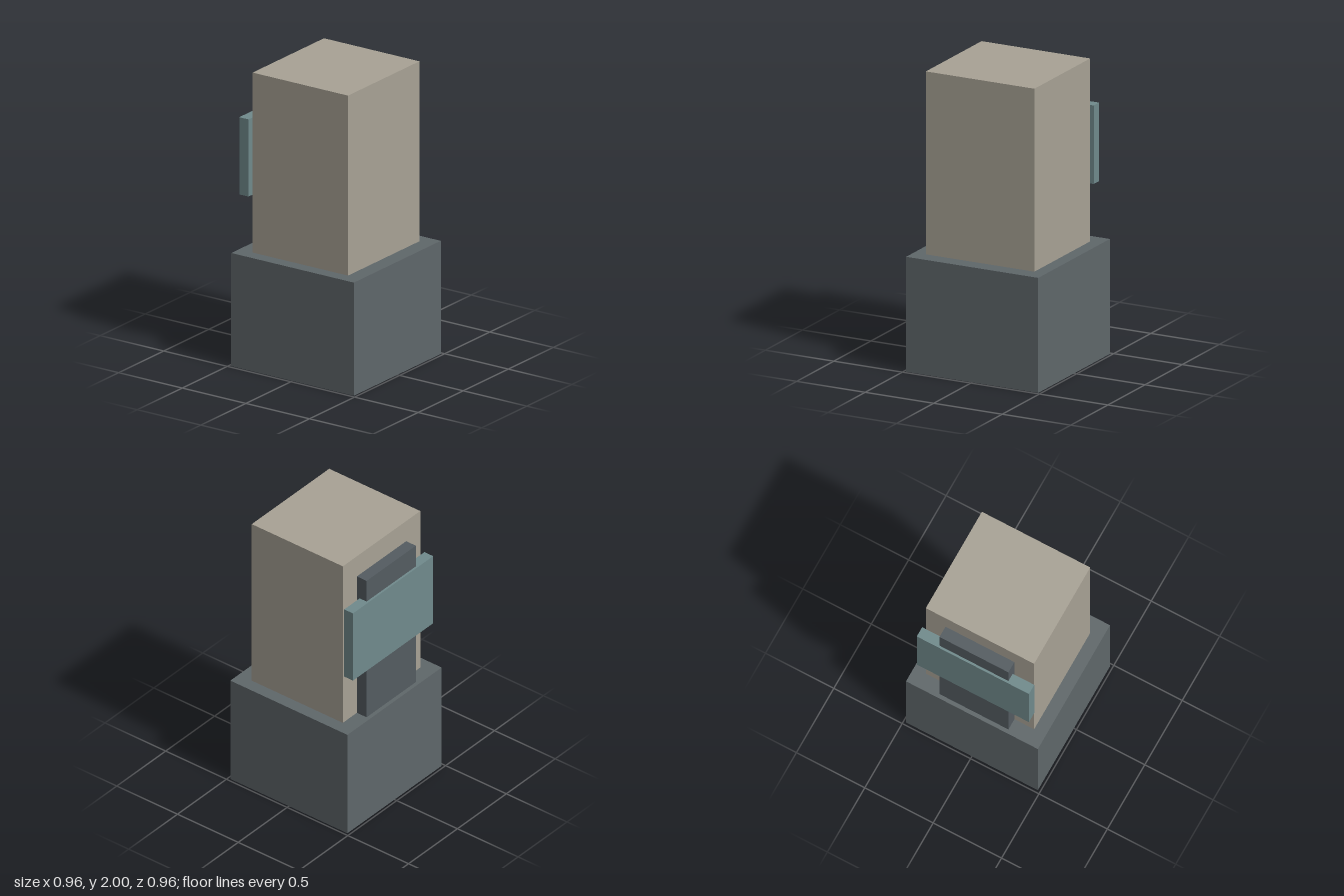
import * as THREE from 'three';

// Box given by its extents: half width in x, then y and z ranges
function block(name, color, halfX, [y0, y1], [z0, z1]) {
  const mesh = new THREE.Mesh(
    new THREE.BoxGeometry(halfX * 2, y1 - y0, z1 - z0),
    new THREE.MeshStandardMaterial({ color })
  );
  mesh.position.set(0, (y0 + y1) / 2, (z0 + z1) / 2);
  mesh.name = name;
  return mesh;
}

export function createModel() {
  const model = new THREE.Group();
  model.name = 'pillar';
  model.add(
    // wide plinth and the main shaft standing on it
    block('base', 0x5f676a, 0.482, [0, 0.772], [-0.482, 0.482]),
    block('shaft', 0xa8a295, 0.396, [0.772, 2], [-0.375, 0.375]),
    // upright strip on the back, crossed by a wide panel
    block('backSpine', 0x545c61, 0.252, [0.772, 1.842], [-0.455, -0.375]),
    block('backPanel', 0x708a8c, 0.41, [1.153, 1.68], [-0.47, -0.398])
  );
  return model;
}
